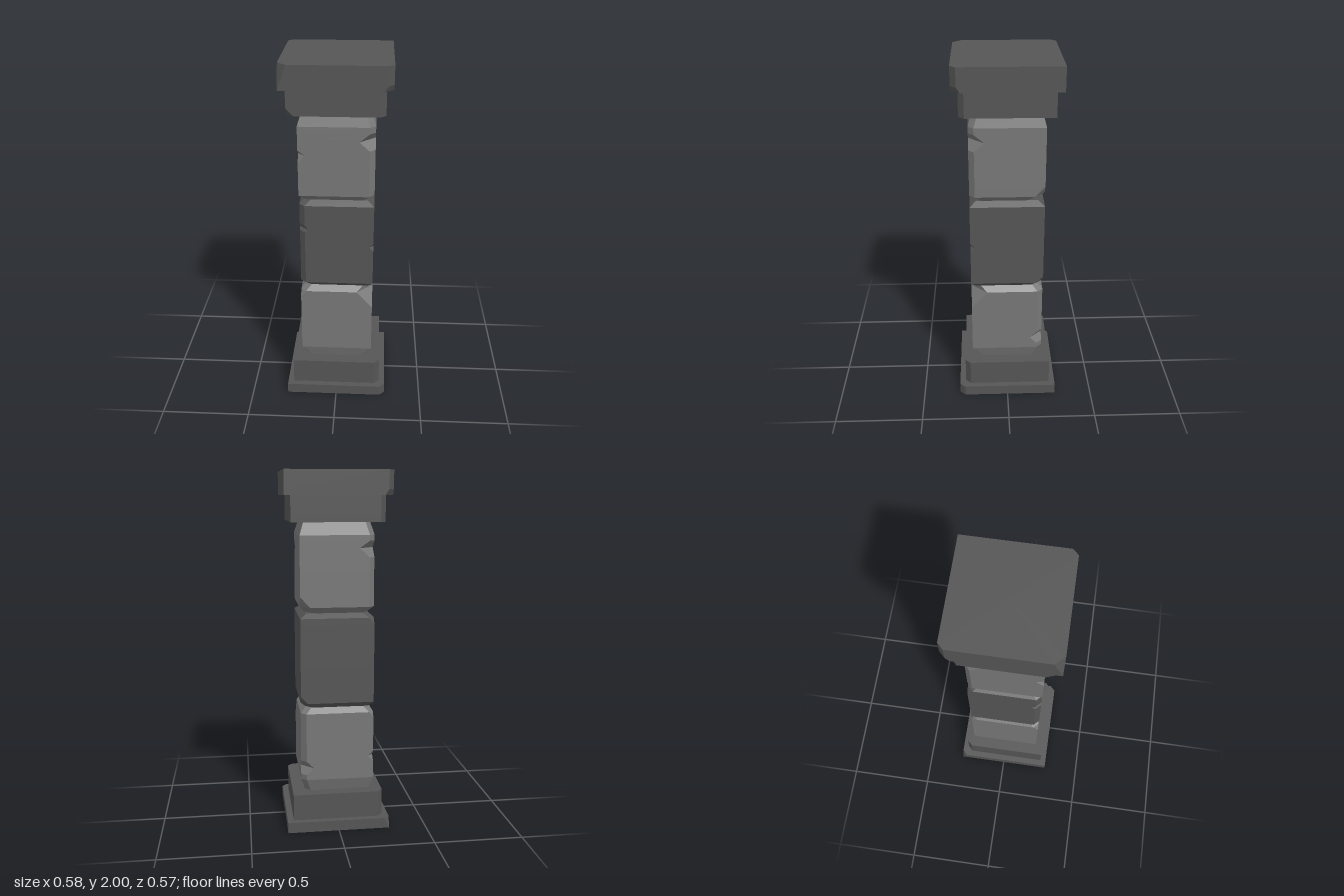
import * as THREE from 'three';

const lightStone = new THREE.MeshStandardMaterial({ color: 0x777777, flatShading: true });
const darkStone = new THREE.MeshStandardMaterial({ color: 0x555555, flatShading: true });

// Corner order, counter-clockwise from above: front left, back left, back right, front right
const SIGNS = [[1, 1], [1, -1], [-1, -1], [-1, 1]];

// Linear lookup in a list of [height, value]
function sample(list, y) {
  if (y <= list[0][0]) return list[0][1];
  for (let i = 1; i < list.length; i++) {
    const [y0, v0] = list[i - 1], [y1, v1] = list[i];
    if (y <= y1) return v0 + (v1 - v0) * (y - y0) / (y1 - y0);
  }
  return list[list.length - 1][1];
}

// Square stone: insets bevel the sides by height, corners hold the chip depth by height
function chippedBlock(name, material, hx, hz, insets, corners) {
  const bottom = insets[0][0], top = insets[insets.length - 1][0];
  const levels = [...new Set([insets, ...corners].flat().map(p => p[0]))]
    .filter(y => y >= bottom && y <= top).sort((a, b) => a - b);
  const rings = levels.map(y => {
    const inset = sample(insets, y), w = hx - inset, d = hz - inset;
    return SIGNS.flatMap(([sx, sz], i) => {
      const c = sample(corners[i], y);
      const alongX = new THREE.Vector3(sx * (w - c), y, sz * d);
      const alongZ = new THREE.Vector3(sx * w, y, sz * (d - c));
      return sx * sz > 0 ? [alongX, alongZ] : [alongZ, alongX];
    });
  });
  const pos = [];
  const tri = (a, b, c) => {
    const area = b.clone().sub(a).cross(c.clone().sub(a)).length();
    if (area > 1e-8) for (const p of [a, b, c]) pos.push(p.x, p.y, p.z);
  };
  const lowCentre = new THREE.Vector3(0, bottom, 0), highCentre = new THREE.Vector3(0, top, 0);
  const last = rings[rings.length - 1];
  for (let j = 0; j < 8; j++) {
    const k = (j + 1) % 8;
    for (let i = 0; i + 1 < rings.length; i++) {
      const lo = rings[i], hi = rings[i + 1];
      tri(lo[j], lo[k], hi[k]);
      tri(lo[j], hi[k], hi[j]);
    }
    tri(lowCentre, rings[0][k], rings[0][j]);
    tri(highCentre, last[j], last[k]);
  }
  const geometry = new THREE.BufferGeometry();
  geometry.setAttribute('position', new THREE.Float32BufferAttribute(pos, 3));
  geometry.computeVertexNormals();
  const mesh = new THREE.Mesh(geometry, material);
  mesh.name = name;
  return mesh;
}

export function createModel() {
  const group = new THREE.Group();
  group.name = 'stonePillar';
  const sharp = [[0, 0]], cut = [[0, 0.03]];

  // Stepped base
  group.add(chippedBlock('plinth', darkStone, 0.29, 0.285, [[0, 0], [0.06, 0]],
    [cut, sharp, [[0, 0], [0.06, 0.03]], sharp]));
  group.add(chippedBlock('baseStep', darkStone, 0.255, 0.25, [[0.06, 0], [0.21, 0]],
    [cut, sharp, cut, sharp]));

  // Shaft stones
  group.add(chippedBlock('lowerShaftStone', lightStone, 0.205, 0.205,
    [[0.21, 0.022], [0.28, 0], [0.67, 0], [0.7, 0.03]], [
      [[0.21, 0.045], [0.28, 0], [0.57, 0], [0.67, 0.09], [0.7, 0.025]],
      [[0.31, 0.03], [0.35, 0.07], [0.39, 0.03]],
      [[0.38, 0], [0.41, 0.03], [0.44, 0], [0.64, 0], [0.67, 0.025]],
      [[0.21, 0.035], [0.29, 0], [0.64, 0], [0.67, 0.03]],
    ]));
  group.add(chippedBlock('middleShaftStone', darkStone, 0.205, 0.205,
    [[0.7, 0.03], [0.73, 0], [1.21, 0], [1.235, 0.035]], [
      [[0.94, 0], [0.965, 0.022], [0.99, 0]],
      [[0.73, 0.04], [0.77, 0]],
      [[1.17, 0], [1.21, 0.03]],
      [[1.05, 0.03], [1.065, 0.05], [1.09, 0.03]],
    ]));
  group.add(chippedBlock('upperShaftStone', lightStone, 0.205, 0.205,
    [[1.235, 0.035], [1.27, 0], [1.66, 0], [1.73, 0.022]], [
      [[1.53, 0.03], [1.58, 0.085], [1.625, 0.03]],
      [[1.27, 0.055], [1.33, 0]],
      [[1.54, 0.03], [1.59, 0.085], [1.63, 0.03]],
      [[1.46, 0], [1.5, 0.04], [1.53, 0]],
    ]));

  // Stepped capital
  group.add(chippedBlock('capitalStep', darkStone, 0.255, 0.25, [[1.73, 0], [1.87, 0]],
    [cut, sharp, cut, [[1.73, 0.04], [1.77, 0]]]));
  group.add(chippedBlock('capitalSlab', darkStone, 0.29, 0.285, [[1.87, 0], [2, 0]], [
    [[1.87, 0.05], [1.9, 0.03]],
    sharp,
    [[1.87, 0.05], [1.9, 0.03]],
    [[1.87, 0], [2, 0.047]],
  ]));
  return group;
}
